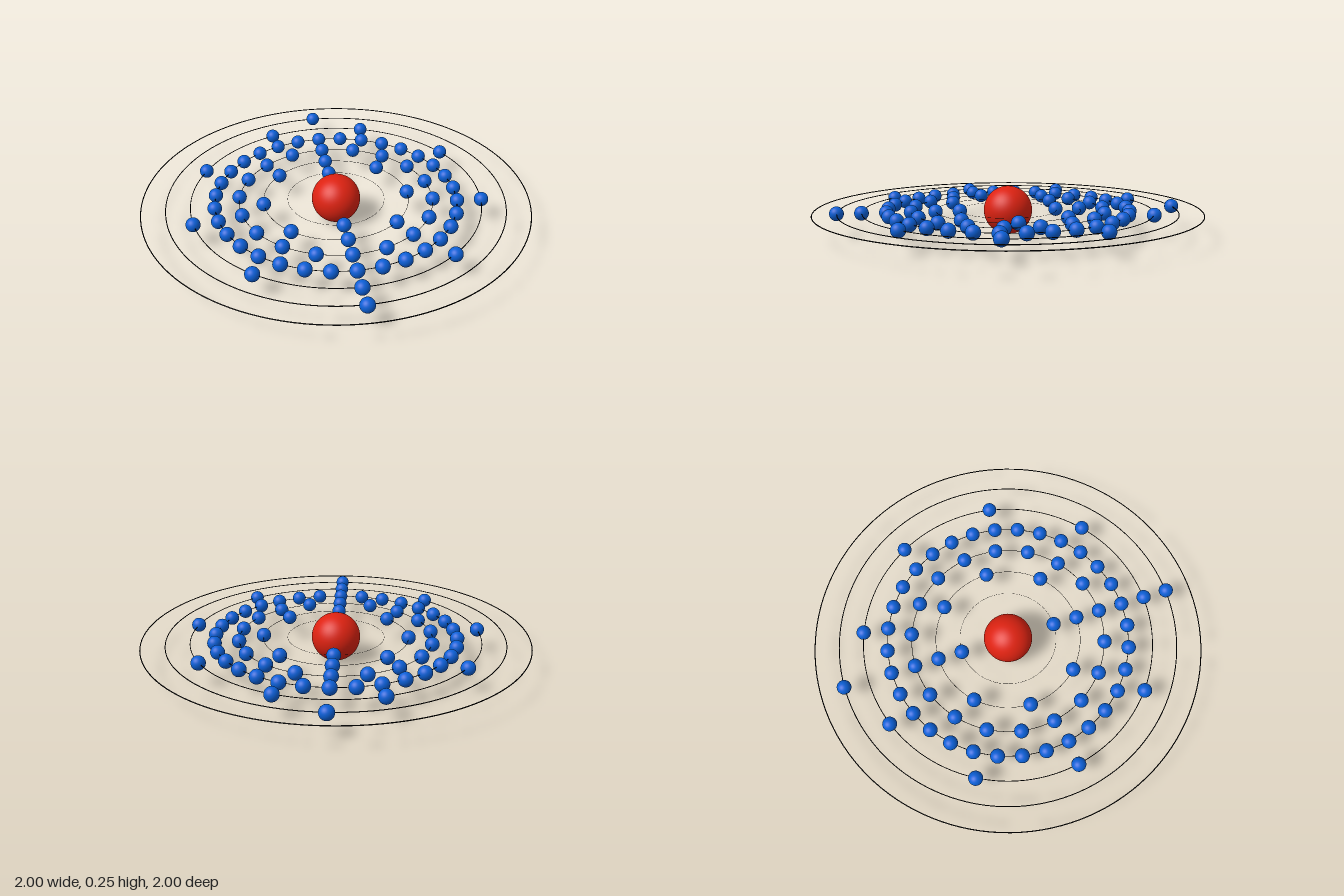
import * as THREE from 'three';

const CENTER_Y = 0.125;
const RING_STEP = 0.125;
// electrons per shell, innermost first (the last ring is empty)
const SHELLS = [2, 8, 18, 32, 9, 2, 0];

export function createModel() {
  const model = new THREE.Group();
  const red = new THREE.MeshStandardMaterial({ color: 0xdd2211 });
  const blue = new THREE.MeshStandardMaterial({ color: 0x0b5fd6 });
  const black = new THREE.MeshStandardMaterial({ color: 0x000000 });

  // central ball
  const nucleus = new THREE.Mesh(new THREE.SphereGeometry(0.125, 48, 32), red);
  nucleus.name = 'nucleus';
  nucleus.position.y = CENTER_Y;
  model.add(nucleus);

  const electronGeometry = new THREE.SphereGeometry(0.037, 28, 18);

  SHELLS.forEach((count, i) => {
    const radius = RING_STEP * (i + 2);
    const shell = new THREE.Group();
    shell.name = `shell${i + 1}`;
    shell.position.y = CENTER_Y;

    // hair-thin orbit, thicker towards the outside
    const tube = 0.0027 * radius;
    const orbit = new THREE.Mesh(new THREE.TorusGeometry(radius - tube, tube, 8, 128), black);
    orbit.name = 'orbit';
    orbit.rotation.x = Math.PI / 2;
    shell.add(orbit);

    // electrons evenly spaced, starting at the front
    for (let k = 0; k < count; k++) {
      const a = (k / count) * Math.PI * 2;
      const electron = new THREE.Mesh(electronGeometry, blue);
      electron.name = 'electron';
      electron.position.set(Math.sin(a) * radius, 0, Math.cos(a) * radius);
      shell.add(electron);
    }
    model.add(shell);
  });

  return model;
}
